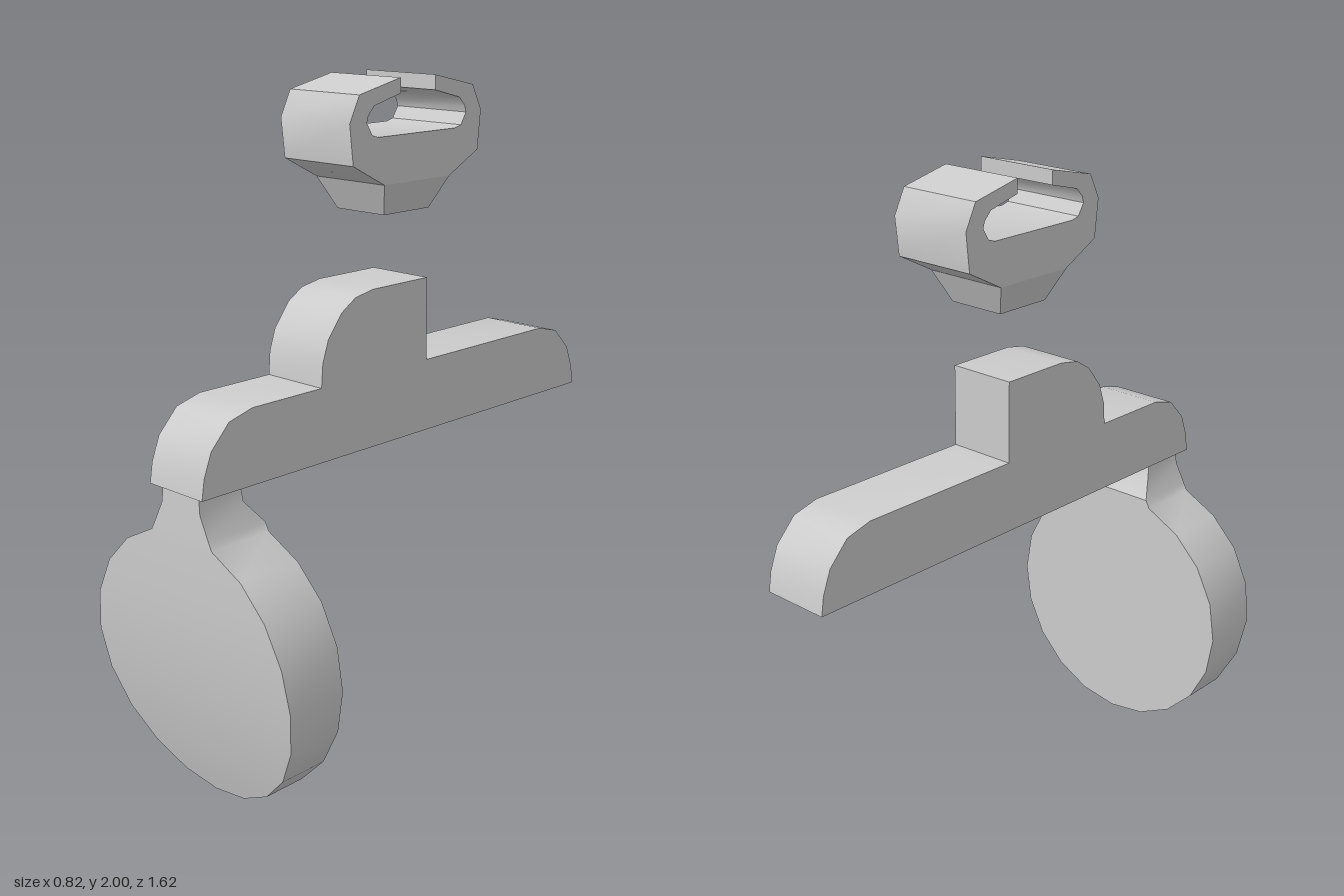
import * as THREE from 'three';
import { toCreasedNormals } from 'three/addons/utils/BufferGeometryUtils.js';

const material = new THREE.MeshStandardMaterial({ color: 0xcccccc });

function addMesh(parent, name, geometry, crease = 0.65) {
  const mesh = new THREE.Mesh(toCreasedNormals(geometry, crease), material);
  mesh.name = name;
  parent.add(mesh);
}

// Extrude a [z, y] outline across x, centred on x = 0
function sideProfile(points, width) {
  const shape = new THREE.Shape(points.map(([z, y]) => new THREE.Vector2(z, y)));
  return new THREE.ExtrudeGeometry(shape, { depth: width, bevelEnabled: false })
    .translate(0, 0, -width / 2)
    .rotateY(-Math.PI / 2);
}

// Stack rectangular sections [y, halfWidth, frontZ, backZ] from bottom to top
function loft(rows) {
  const positions = [], index = [];
  rows.forEach(([y, w, front, back], i) => {
    positions.push(w, y, front, -w, y, front, -w, y, back, w, y, back);
    if (i === 0) return;
    const low = (i - 1) * 4, high = i * 4;
    for (let k = 0; k < 4; k++) {
      const n = (k + 1) % 4;
      index.push(low + n, low + k, high + k, low + n, high + k, high + n);
    }
  });
  const t = (rows.length - 1) * 4;
  index.push(0, 1, 2, 0, 2, 3, t, t + 3, t + 2, t, t + 2, t + 1);
  const geometry = new THREE.BufferGeometry();
  geometry.setAttribute('position', new THREE.Float32BufferAttribute(positions, 3));
  geometry.setIndex(index);
  return geometry.toNonIndexed();
}

export function createModel() {
  const model = new THREE.Group();
  model.name = 'model';

  // Open clip: outer edge of one arm, then its inner edge, mirrored in z
  const outer = [[0.138, 1.708], [0.262, 1.772], [0.275, 1.888], [0.237, 1.963], [0.072, 2]];
  const inner = [[0.072, 1.957], [0.178, 1.93], [0.202, 1.905], [0.208, 1.885], [0.186, 1.85], [0.16, 1.843]];
  const half = [...outer, ...inner];
  const mirrored = half.map(([z, y]) => [-z, y]).reverse();
  const clip = new THREE.Group();
  clip.name = 'clip';
  addMesh(clip, 'clipArms', sideProfile([...half, ...mirrored], 0.272));

  // Tapered foot under the clip
  addMesh(clip, 'clipFoot', loft([
    [1.614, 0.093, 0.095, -0.095],
    [1.708, 0.136, 0.138, -0.138],
  ]));
  model.add(clip);

  // Long bar with rounded ends and a raised block
  const end = [[0.812, 0.94], [0.802, 1.0], [0.775, 1.07], [0.71, 1.138], [0.626, 1.16]];
  const block = [[0.366, 1.16], [0.36, 1.23], [0.338, 1.294], [0.284, 1.363], [0.228, 1.398],
    [0.155, 1.411], [-0.074, 1.411], [-0.074, 1.16]];
  const backEnd = end.map(([z, y]) => [-z, y]).reverse();
  addMesh(model, 'bar', sideProfile([...end, ...block, ...backEnd], 0.218));

  // Twenty-sided disc whose front curves back towards the bottom, with a neck on top
  const radius = 0.41, backZ = 0.592;
  const frontZ = (y) => 0.8 - 0.095 * Math.max(0, (0.65 - y) / 0.65) ** 2;
  const rows = [];
  for (let i = 0; i <= 9; i++) {
    const a = (i * Math.PI) / 10;
    const y = radius * (1 - Math.cos(a));
    rows.push([y, radius * Math.sin(a), frontZ(y), backZ]);
  }
  rows.push([0.825, 0.113, 0.799, backZ], [0.89, 0.08, 0.797, 0.642], [0.942, 0.075, 0.795, 0.648]);
  addMesh(model, 'discWithNeck', loft(rows));

  return model;
}
